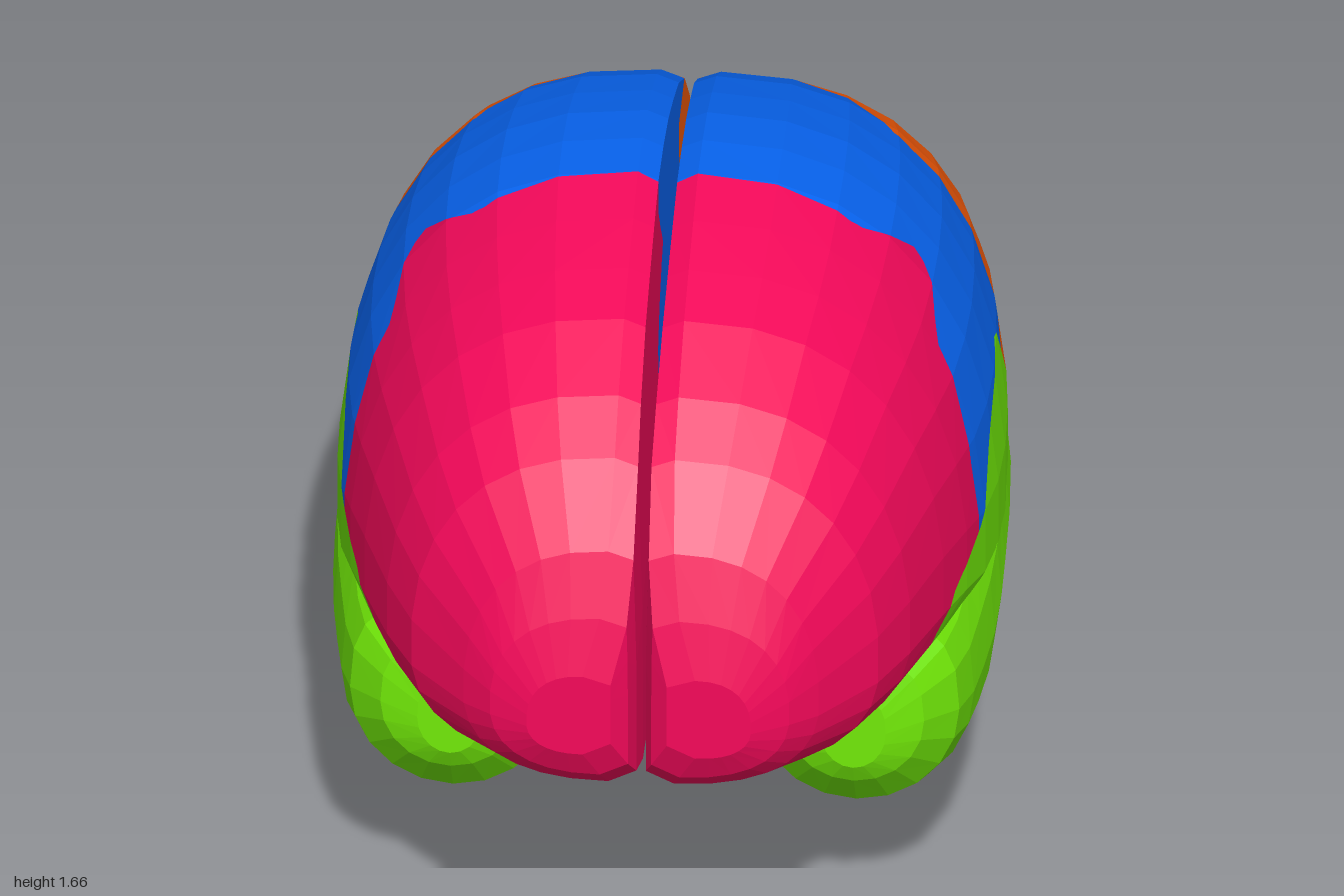
import * as THREE from 'three';

const mat = (color) => new THREE.MeshStandardMaterial({ color, flatShading: true });
const pow = (v, p) => Math.sign(v) * Math.abs(v) ** p;

// piecewise linear lookup; points are sorted by rising first value
function lookup(points, t) {
  if (t <= points[0][0]) return points[0][1];
  for (let i = 1; i < points.length; i++) {
    const [a, va] = points[i - 1], [b, vb] = points[i];
    if (t <= b) return va + (vb - va) * (t - a) / (b - a);
  }
  return points[points.length - 1][1];
}

// closed skin over a row of rings, as triangles that all face outward
function loft(rings) {
  const tris = [], n = rings[0].length;
  for (let i = 0; i + 1 < rings.length; i++)
    for (let j = 0; j < n; j++) {
      const k = (j + 1) % n, a = rings[i], b = rings[i + 1];
      tris.push([a[j], a[k], b[k]], [a[j], b[k], b[j]]);
    }
  for (const [ring, flip] of [[rings[0], true], [rings[rings.length - 1], false]]) {
    const mid = ring.reduce((s, p) => s.add(p), new THREE.Vector3()).divideScalar(n);
    ring.forEach((p, j) => {
      const q = ring[(j + 1) % n];
      tris.push(flip ? [mid, q, p] : [mid, p, q]);
    });
  }
  const volume = tris.reduce((s, [a, b, c]) => s + a.dot(b.clone().cross(c)), 0);
  return volume < 0 ? tris.map(([a, b, c]) => [a, c, b]) : tris;
}

// cut each triangle in four, keeping it flat, so borders can be followed closely
function refine(tris) {
  return tris.flatMap(([a, b, c]) => {
    const ab = a.clone().lerp(b, 0.5), bc = b.clone().lerp(c, 0.5), ca = c.clone().lerp(a, 0.5);
    return [[a, ab, ca], [ab, b, bc], [ca, bc, c], [ab, bc, ca]];
  });
}

// divide triangles along the line f = 0: [inside, outside]
function split(tris, f) {
  const half = (sign) => tris.flatMap((tri) => {
    const d = tri.map((p) => sign * f(p)), poly = [];
    if (d.every((v) => v < 0)) return [];
    tri.forEach((p, i) => {
      const k = (i + 1) % 3;
      if (d[i] >= 0) poly.push(p);
      if ((d[i] >= 0) !== (d[k] >= 0)) poly.push(p.clone().lerp(tri[k], d[i] / (d[i] - d[k])));
    });
    return poly.slice(2).map((p, i) => [poly[0], poly[i + 1], p]);
  });
  return [half(1), half(-1)];
}

function addMesh(group, name, tris, material) {
  const geo = new THREE.BufferGeometry().setFromPoints(tris.flat());
  geo.computeVertexNormals();
  const mesh = new THREE.Mesh(geo, material);
  mesh.name = name;
  group.add(mesh);
}

// cerebrum stations: z, inner x, outer x, top, widest height, bottom
const CEREBRUM = [
  [1, 0.06, 0.24, 1.0, 0.88, 0.8],
  [0.97, 0.025, 0.32, 1.13, 0.9, 0.73],
  [0.92, 0.01, 0.38, 1.27, 0.9, 0.68],
  [0.8, 0.004, 0.5, 1.43, 0.92, 0.63],
  [0.68, 0.004, 0.56, 1.51, 0.92, 0.61],
  [0.5, 0.004, 0.62, 1.585, 0.9, 0.59],
  [0.35, 0.004, 0.66, 1.615, 0.86, 0.585],
  [0.2, 0.004, 0.69, 1.64, 0.8, 0.58],
  [0.05, 0.004, 0.708, 1.66, 0.77, 0.57],
  [-0.1, 0.004, 0.713, 1.645, 0.76, 0.55],
  [-0.25, 0.004, 0.708, 1.615, 0.76, 0.53],
  [-0.4, 0.004, 0.695, 1.565, 0.76, 0.49],
  [-0.55, 0.004, 0.672, 1.505, 0.76, 0.465],
  [-0.7, 0.004, 0.64, 1.415, 0.76, 0.45],
  [-0.82, 0.004, 0.58, 1.29, 0.76, 0.45],
  [-0.91, 0.01, 0.46, 1.13, 0.76, 0.47],
  [-0.97, 0.025, 0.34, 0.97, 0.76, 0.58],
  [-1, 0.06, 0.23, 0.88, 0.79, 0.7],
];

// temporal lobe stations: z, centre x, centre y, radius x, radius y
const TEMPORAL = [
  [0.585, 0.43, 0.6, 0.07, 0.09],
  [0.56, 0.43, 0.62, 0.15, 0.16],
  [0.48, 0.43, 0.6, 0.22, 0.24],
  [0.38, 0.435, 0.58, 0.24, 0.27],
  [0.28, 0.44, 0.58, 0.25, 0.3],
  [0.17, 0.45, 0.59, 0.255, 0.32],
  [0.07, 0.455, 0.62, 0.258, 0.305],
  [-0.02, 0.455, 0.65, 0.26, 0.28],
  [-0.16, 0.455, 0.68, 0.26, 0.27],
  [-0.32, 0.45, 0.7, 0.257, 0.265],
  [-0.48, 0.44, 0.72, 0.244, 0.255],
  [-0.58, 0.43, 0.73, 0.235, 0.2],
  [-0.67, 0.42, 0.72, 0.21, 0.1],
];

// brainstem rings: y, centre z, radius x, radius z
const STEM = [
  [0.62, -0.1, 0.1, 0.09], [0.58, -0.1, 0.18, 0.13], [0.48, -0.13, 0.19, 0.16],
  [0.4, -0.12, 0.175, 0.14], [0.35, -0.15, 0.155, 0.13], [0.31, -0.21, 0.125, 0.1],
  [0.24, -0.25, 0.105, 0.11], [0.17, -0.32, 0.08, 0.08], [0.1, -0.36, 0.07, 0.065], [0, -0.4, 0.07, 0.055],
];

// lobe borders on the cerebrum
const TEMPORAL_TOP = [[-0.68, 0.76], [-0.44, 0.82], [-0.33, 0.98], [-0.235, 1.095], [0.06, 1.04],
  [0.22, 0.91], [0.42, 0.87], [0.52, 0.79], [0.58, 0.62], [0.6, 0]];
const TEMPORAL_BACK = [[-0.69, 2], [-0.67, 0.65], [-0.61, 0.55], [-0.48, 0.465], [-0.46, 0]];
const FRONTAL_BACK = [[1.1, 0.25], [1.34, 0.18], [1.44, -0.02], [1.56, 0.08], [1.66, 0.05]];
const OCCIPITAL_TOP = [[-0.72, 1.4], [-0.51, 1.4], [-0.46, 1.12], [-0.42, 1.03], [-0.33, 0.98], [-0.31, 0]];

const inTemporal = ({ x, y, z }) => Math.min(lookup(TEMPORAL_TOP, z) - y,
  y - lookup(TEMPORAL_BACK, z), Math.abs(x) - 0.2 + Math.max(0, 0.2 - z) * 5);
const inFrontal = ({ y, z }) => z - lookup(FRONTAL_BACK, y);
const inOccipital = ({ y, z }) => lookup(OCCIPITAL_TOP, z) - y;

// half-dome section; the inner wall leans away from the middle towards the top
function cerebrumRing([z, inner, outer, top, mid, bottom], side) {
  const ring = [], x0 = inner + 0.06, N = 15;
  const fullness = 0.85 - 0.25 * THREE.MathUtils.smoothstep(-z, 0, 0.5);
  for (let i = 0; i <= N; i++) {
    const a = (i / N - 0.5) * Math.PI, s = Math.sin(a), p = s > 0 ? 0.85 : fullness;
    const x = x0 + (outer - x0) * pow(Math.max(0, Math.cos(a)), p);
    const y = mid + (s > 0 ? top - mid : mid - bottom) * pow(s, p);
    ring.push(new THREE.Vector3(side * x, y, z));
  }
  for (let i = 0; i <= 4; i++) {
    const y = THREE.MathUtils.lerp(top - 0.02, bottom + 0.03, i / 4);
    ring.push(new THREE.Vector3(side * (inner + 0.025 * Math.max(0, y - 1)), y, z));
  }
  return ring;
}

// round section, fuller at its upper outer corner
function temporalRing([z, cx, cy, rx, ry], side) {
  return roundRing(20, (c, s) => {
    const p = s > 0 && c > 0 ? 0.75 : 1;
    return new THREE.Vector3(side * (cx + rx * pow(c, p)), cy + ry * pow(s, p), z);
  });
}

// ring from a function of cosine and sine
function roundRing(n, place) {
  return Array.from({ length: n }, (_, i) => {
    const a = i / n * Math.PI * 2;
    return place(Math.cos(a), Math.sin(a));
  });
}

export function createModel() {
  const model = new THREE.Group();
  model.name = 'brain';
  const pink = mat(0xf5085a), blue = mat(0x0866f5), green = mat(0x72ea08);
  const orange = mat(0xf55a08), purple = mat(0x8a08a0), beige = mat(0xc8aa92);

  for (const side of [1, -1]) {
    const half = new THREE.Group();
    half.name = side > 0 ? 'leftHemisphere' : 'rightHemisphere';
    model.add(half);

    // cerebrum divided into its lobes
    const skin = refine(refine(loft(CEREBRUM.map((row) => cerebrumRing(row, side)))));
    const [temporal, rest] = split(skin, inTemporal);
    const [frontal, rear] = split(rest, inFrontal);
    const [occipital, parietal] = split(rear, inOccipital);
    addMesh(half, 'frontalLobe', frontal, pink);
    addMesh(half, 'parietalLobe', parietal, blue);
    addMesh(half, 'occipitalLobe', occipital, orange);
    addMesh(half, 'temporalLobeUpper', temporal, green);

    // bulging lower part of the temporal lobe
    addMesh(half, 'temporalLobe', loft(TEMPORAL.map((row) => temporalRing(row, side))), green);

    // cerebellum half, its outer end raised
    const lobe = new THREE.Mesh(new THREE.SphereGeometry(1, 18, 12), purple);
    lobe.name = 'cerebellum';
    lobe.scale.set(0.28, 0.155, 0.375);
    lobe.position.set(side * 0.29, 0.315, -0.52);
    lobe.rotation.set(0.06, 0, side * 0.16);
    half.add(lobe);
  }

  // bridge between the cerebellum halves
  const bridge = new THREE.Mesh(new THREE.SphereGeometry(1, 12, 8), purple);
  bridge.name = 'cerebellumBridge';
  bridge.scale.set(0.13, 0.11, 0.26);
  bridge.position.set(0, 0.33, -0.46);
  model.add(bridge);

  addMesh(model, 'brainstem', loft(STEM.map(([y, cz, rx, rz]) =>
    roundRing(14, (c, s) => new THREE.Vector3(rx * c, y, cz + rz * s)))), beige);
  return model;
}
